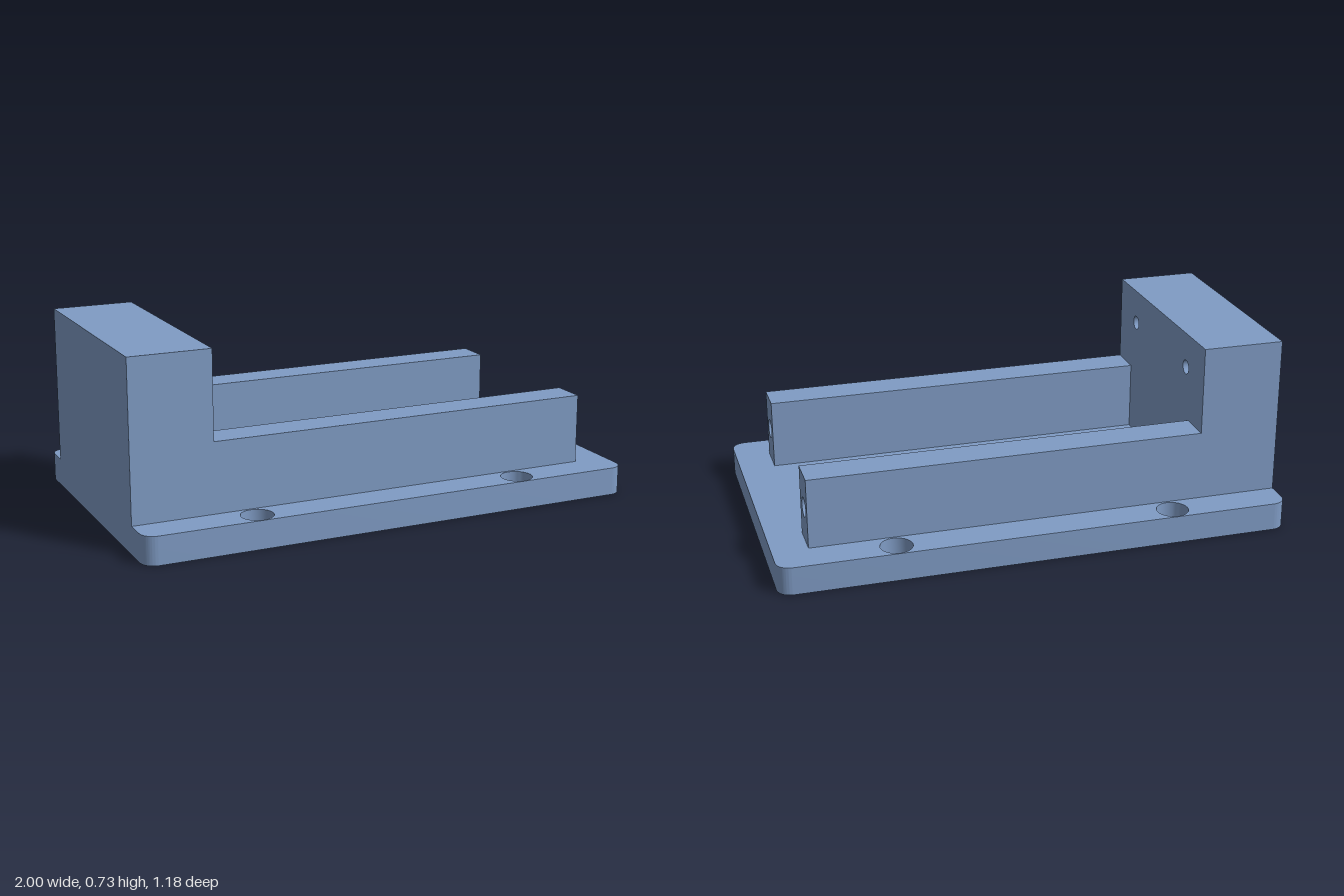
import * as THREE from 'three';
import { mergeGeometries, toCreasedNormals } from 'three/addons/utils/BufferGeometryUtils.js';

const blue = new THREE.MeshStandardMaterial({ color: 0x7f9bc4 });
blue.name = 'steel blue';

function circlePath(x, y, r) {
  const path = new THREE.Path();
  path.absarc(x, y, r, 0, Math.PI * 2, true);
  return path;
}

// Flat plate with rounded corners and four through holes
function plateGeometry(hx, hz, height, r) {
  const s = new THREE.Shape();
  s.moveTo(-hx + r, -hz);
  s.absarc(hx - r, -hz + r, r, -Math.PI / 2, 0, false);
  s.absarc(hx - r, hz - r, r, 0, Math.PI / 2, false);
  s.absarc(-hx + r, hz - r, r, Math.PI / 2, Math.PI, false);
  s.absarc(-hx + r, -hz + r, r, Math.PI, Math.PI * 1.5, false);
  for (const x of [-0.546, 0.546])
    for (const z of [-0.523, 0.523]) s.holes.push(circlePath(x, z, 0.062));
  const g = new THREE.ExtrudeGeometry(s, { depth: height, bevelEnabled: false, curveSegments: 16 });
  g.rotateX(-Math.PI / 2);
  return toCreasedNormals(g, 0.6);
}

// Box whose +x face carries blind holes, each given as [z, y, radius, depth]
function drilledBox(x0, x1, y0, y1, z0, z1, holes) {
  const box = new THREE.BoxGeometry(x1 - x0, y1 - y0, z1 - z0);
  box.translate((x0 + x1) / 2, (y0 + y1) / 2, (z0 + z1) / 2);
  box.setIndex(Array.from(box.index.array).slice(6)); // drop the solid +x face
  box.clearGroups();

  // Pierced face: shape x runs along -z
  const s = new THREE.Shape();
  s.moveTo(-z1, y0).lineTo(-z0, y0).lineTo(-z0, y1).lineTo(-z1, y1).closePath();
  for (const [z, y, r] of holes) s.holes.push(circlePath(-z, y, r));
  const face = new THREE.ShapeGeometry(s, 16);
  face.rotateY(Math.PI / 2).translate(x1, 0, 0);

  const parts = [box, face];
  for (const [z, y, r, d] of holes) {
    // Hole wall, facing inward, and its floor
    const wall = new THREE.LatheGeometry([new THREE.Vector2(r, 0), new THREE.Vector2(r, -d)], 32);
    wall.rotateZ(-Math.PI / 2).translate(x1, y, z);
    const floor = new THREE.CircleGeometry(r, 32);
    floor.rotateY(Math.PI / 2).translate(x1 - d, y, z);
    parts.push(wall, floor);
  }
  return mergeGeometries(parts);
}

export function createModel() {
  const model = new THREE.Group();
  model.name = 'railFixture';
  const add = (name, geometry) => {
    const mesh = new THREE.Mesh(geometry, blue);
    mesh.name = name;
    model.add(mesh);
  };

  const top = 0.11, half = 0.453, stepX = -0.682;
  add('basePlate', plateGeometry(1, 0.59, top, 0.055));

  // Tall block at one end with two small holes
  add('endBlock', drilledBox(-1, stepX, top, 0.728, -half, half,
    [-0.272, 0.272].map(z => [z, 0.592, 0.028, 0.2])));

  // Pair of rails with a hole in each free end
  for (const [name, side] of [['frontRail', 1], ['backRail', -1]]) {
    const a = side * 0.317, b = side * half;
    add(name, drilledBox(stepX, 0.862, top, 0.384, Math.min(a, b), Math.max(a, b),
      [[side * 0.387, 0.247, 0.038, 0.35]]));
  }
  return model;
}
